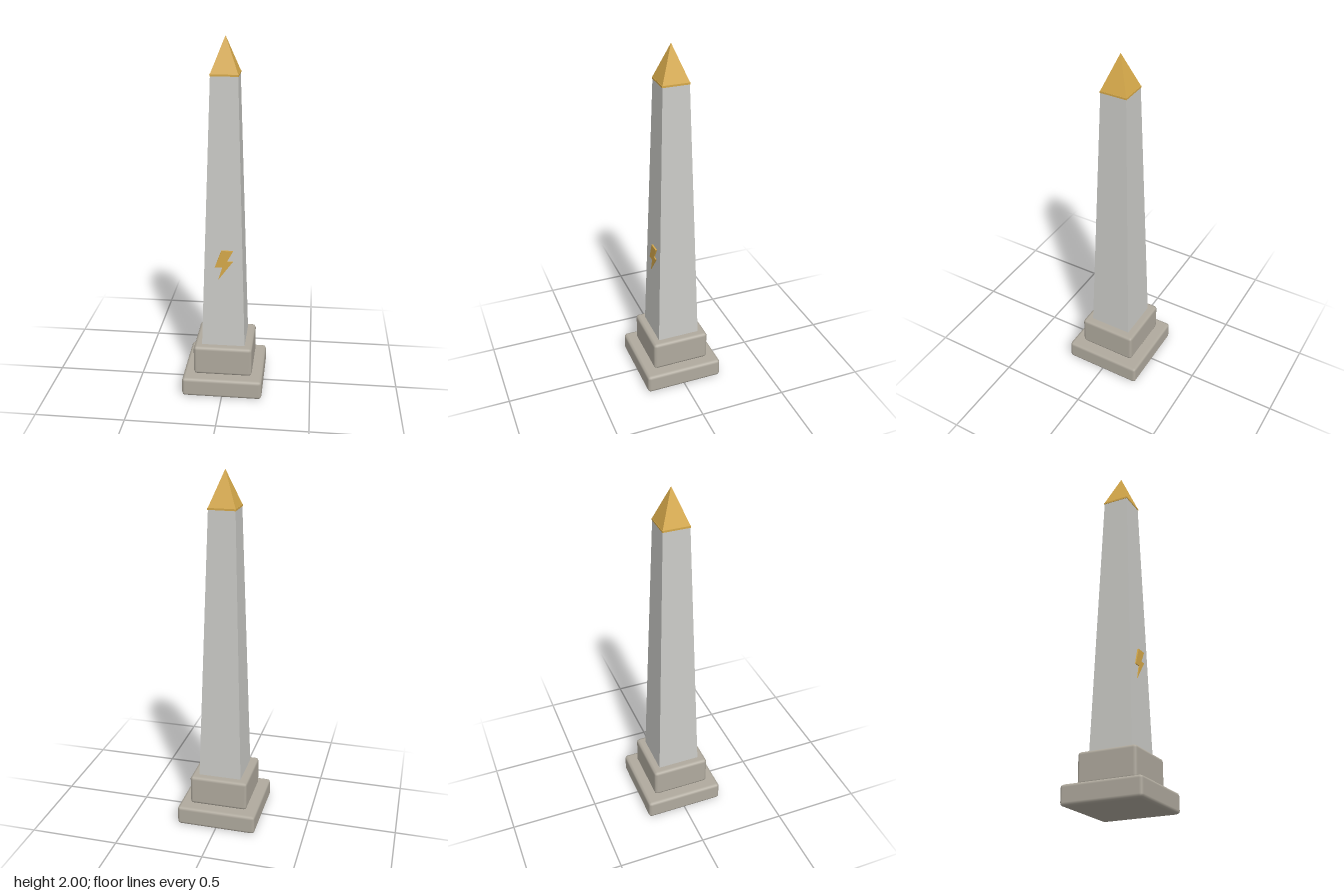
import * as THREE from 'three';
import { RoundedBoxGeometry } from 'three/addons/geometries/RoundedBoxGeometry.js';

const mat = (name, color) => {
  const m = new THREE.MeshStandardMaterial({ color });
  m.name = name;
  return m;
};

// Square frustum with flat sides, given by half widths and heights
function squareFrustum(bottom, top, y0, y1) {
  const g = new THREE.CylinderGeometry(top * Math.SQRT2, bottom * Math.SQRT2, y1 - y0, 4, 1).toNonIndexed();
  g.rotateY(Math.PI / 4);
  g.translate(0, (y0 + y1) / 2, 0);
  g.computeVertexNormals();
  return g;
}

// Square block with softly chamfered edges
function block(half, y0, y1) {
  const g = new RoundedBoxGeometry(half * 2, y1 - y0, half * 2, 1, 0.018);
  g.translate(0, (y0 + y1) / 2, 0);
  return g;
}

export function createModel() {
  const group = new THREE.Group();
  group.name = 'obelisk';
  const plinthStone = mat('plinth stone', 0xb0aa9e);
  const shaftStone = mat('shaft stone', 0xcacac6);
  const gold = mat('gold', 0xd6a94a);

  const add = (name, geometry, material) => {
    const mesh = new THREE.Mesh(geometry, material);
    mesh.name = name;
    group.add(mesh);
  };

  // Two-step plinth
  add('lowerPlinth', block(0.2275, -0.0017, 0.109), plinthStone);
  add('upperPlinth', block(0.1665, 0.109, 0.281), plinthStone);

  // Tapered shaft
  add('shaft', squareFrustum(0.122, 0.073, 0.27, 1.802), shaftStone);

  // Gilded cap: thin ledge and pyramid
  add('capLedge', squareFrustum(0.0755, 0.0755, 1.801, 1.811), gold);
  add('capPyramid', squareFrustum(0.0735, 0, 1.811, 2), gold);

  // Raised bolt emblem on the front face
  const bolt = new THREE.Shape([
    [-0.012, 0.855], [-0.048, 0.757], [-0.006, 0.757], [-0.03, 0.68],
    [0.053, 0.793], [0.02, 0.793], [0.054, 0.855],
  ].map(([x, y]) => new THREE.Vector2(x, y)));
  const boltGeometry = new THREE.ExtrudeGeometry(bolt, { depth: 0.009, bevelEnabled: false });
  boltGeometry.translate(0, 0, 0.103);
  add('boltEmblem', boltGeometry, gold);

  return group;
}
